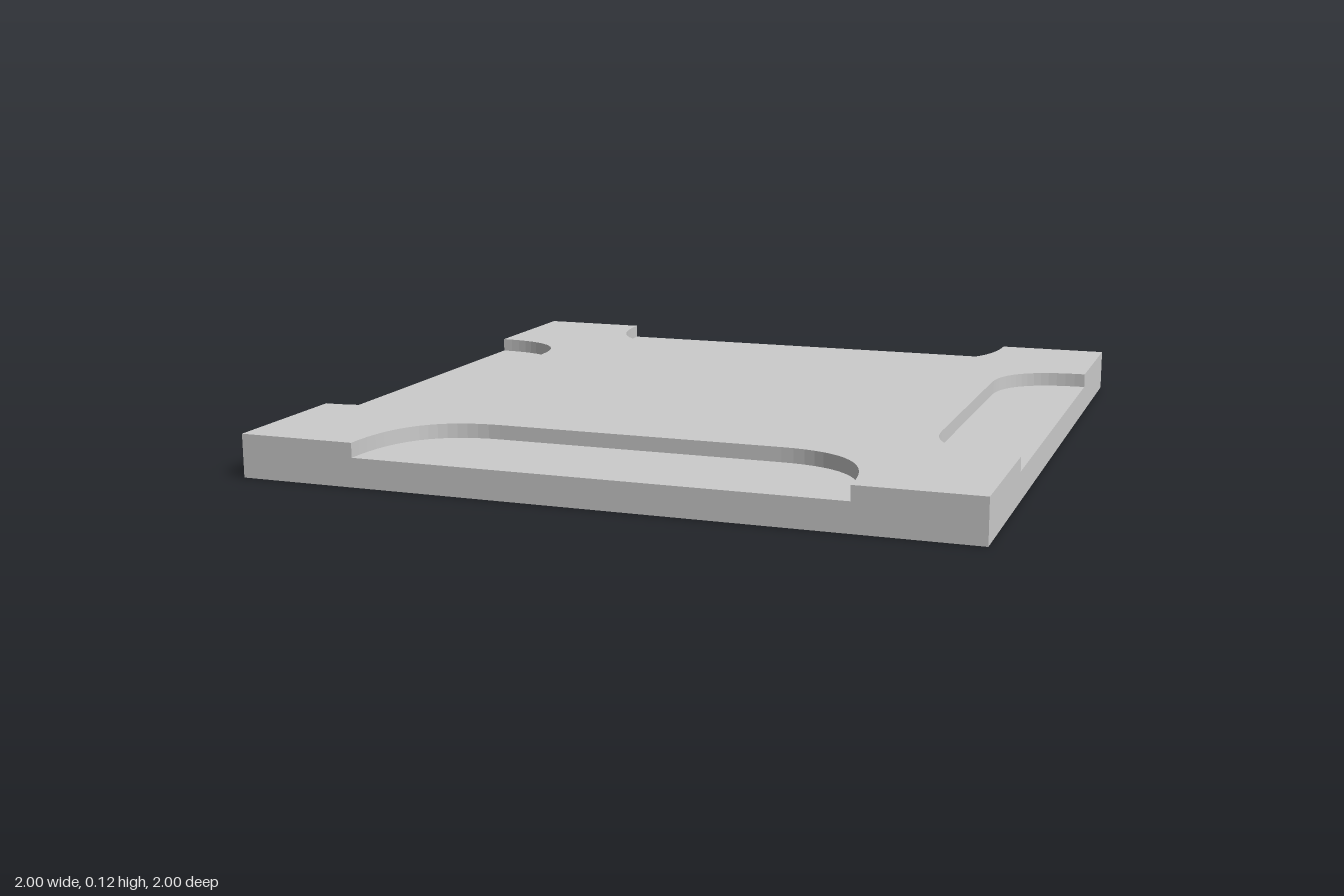
import * as THREE from 'three';

const BASE_H = 0.08, TOP_H = 0.04;

export function createModel() {
  const group = new THREE.Group();
  const material = new THREE.MeshStandardMaterial({ color: 0xcccccc });

  // Square slab underneath
  const base = new THREE.Mesh(new THREE.BoxGeometry(2, BASE_H, 2), material);
  base.name = 'baseSlab';
  base.position.y = BASE_H / 2;
  group.add(base);

  // Raised plate: a square with a rounded bay cut into the middle of each side
  const shape = new THREE.Shape();
  const sides = [
    { half: 0.67, depth: 0.68, flat: 0.4 },  // front and back
    { half: 0.58, depth: 0.75, flat: 0.36 }, // left and right
  ];
  shape.moveTo(-1, -1);
  for (let i = 0; i < 4; i++) {
    const { half, depth, flat } = sides[i % 2];
    // Turn a point of the first side round to side i
    const turn = (x, y) => {
      for (let k = 0; k < i; k++) [x, y] = [-y, x];
      return [x, y];
    };
    shape.lineTo(...turn(-half, -1));
    shape.quadraticCurveTo(...turn(-half, -depth), ...turn(-flat, -depth));
    shape.lineTo(...turn(flat, -depth));
    shape.quadraticCurveTo(...turn(half, -depth), ...turn(half, -1));
    shape.lineTo(...turn(1, -1));
  }
  const plateGeometry = new THREE.ExtrudeGeometry(shape, {
    depth: TOP_H, bevelEnabled: false, curveSegments: 16,
  });
  plateGeometry.rotateX(-Math.PI / 2);
  const plate = new THREE.Mesh(plateGeometry, material);
  plate.name = 'raisedPlate';
  plate.position.y = BASE_H;
  group.add(plate);

  return group;
}
